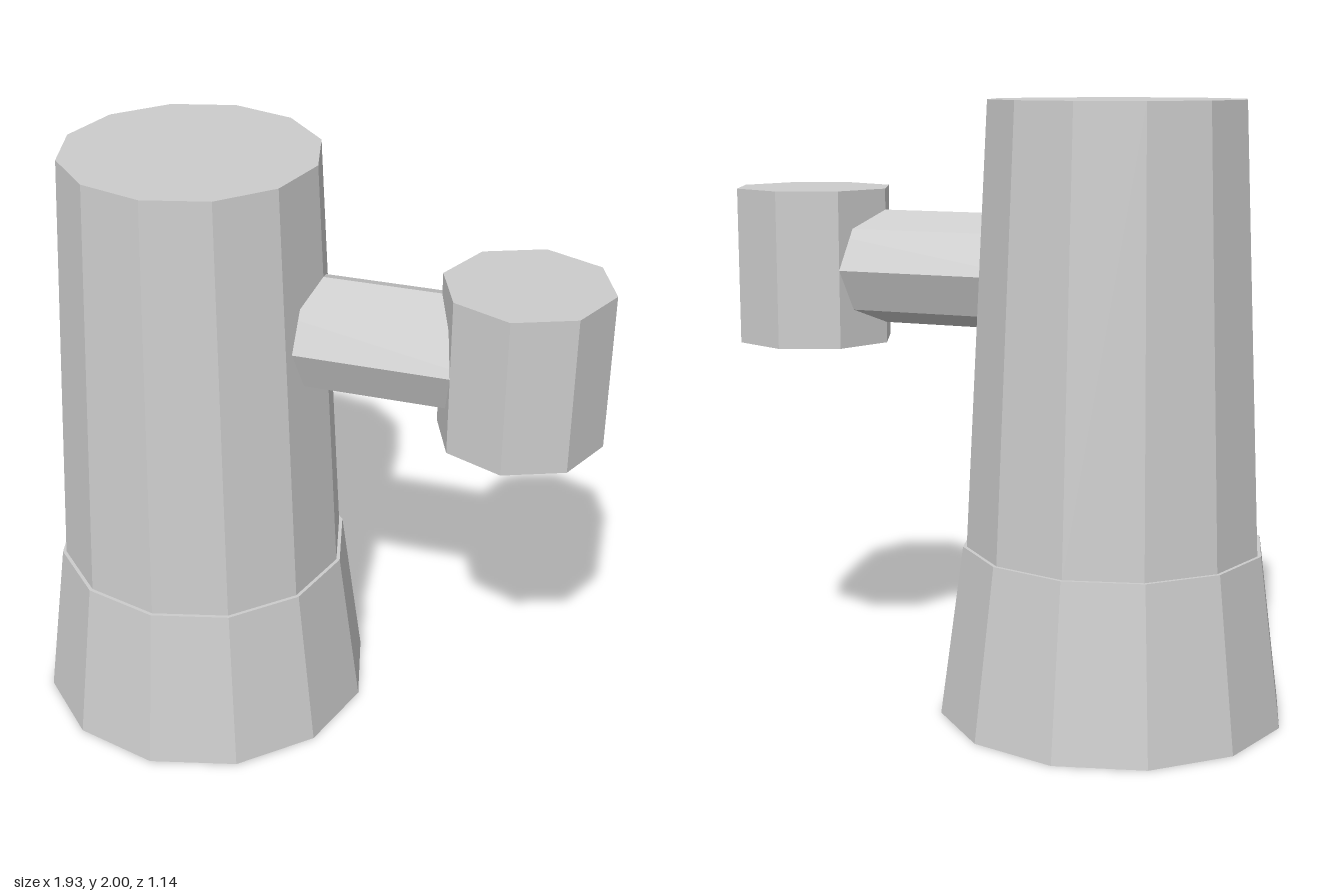
import * as THREE from 'three';

export function createModel() {
  const group = new THREE.Group();
  const grey = new THREE.MeshStandardMaterial({ color: 0xcccccc });
  grey.name = 'light grey';

  // Faceted, capped cylinder with corners on the x and z axes
  function prism(name, rTop, rBottom, height, sides, x, y) {
    const geometry = new THREE.CylinderGeometry(rTop, rBottom, height, sides).toNonIndexed();
    geometry.computeVertexNormals();
    const mesh = new THREE.Mesh(geometry, grey);
    mesh.name = name;
    mesh.position.set(x, y, 0);
    group.add(mesh);
    return mesh;
  }

  const towerX = -0.393;
  const seam = 0.565;

  // Main tower: flared foot and tapering column
  prism('flaredBase', 0.497, 0.572, seam, 12, towerX, seam / 2);
  prism('column', 0.416, 0.485, 2 - seam, 12, towerX, (2 + seam) / 2);

  // Side arm running from inside the column into the end drum
  const arm = prism('sideArm', 0.19, 0.19, 0.9, 8, 0.243, 1.44);
  arm.rotation.z = -Math.PI / 2;

  // Upright drum at the end of the arm
  prism('endDrum', 0.268, 0.268, 0.52, 8, 0.693, 1.44);

  return group;
}
